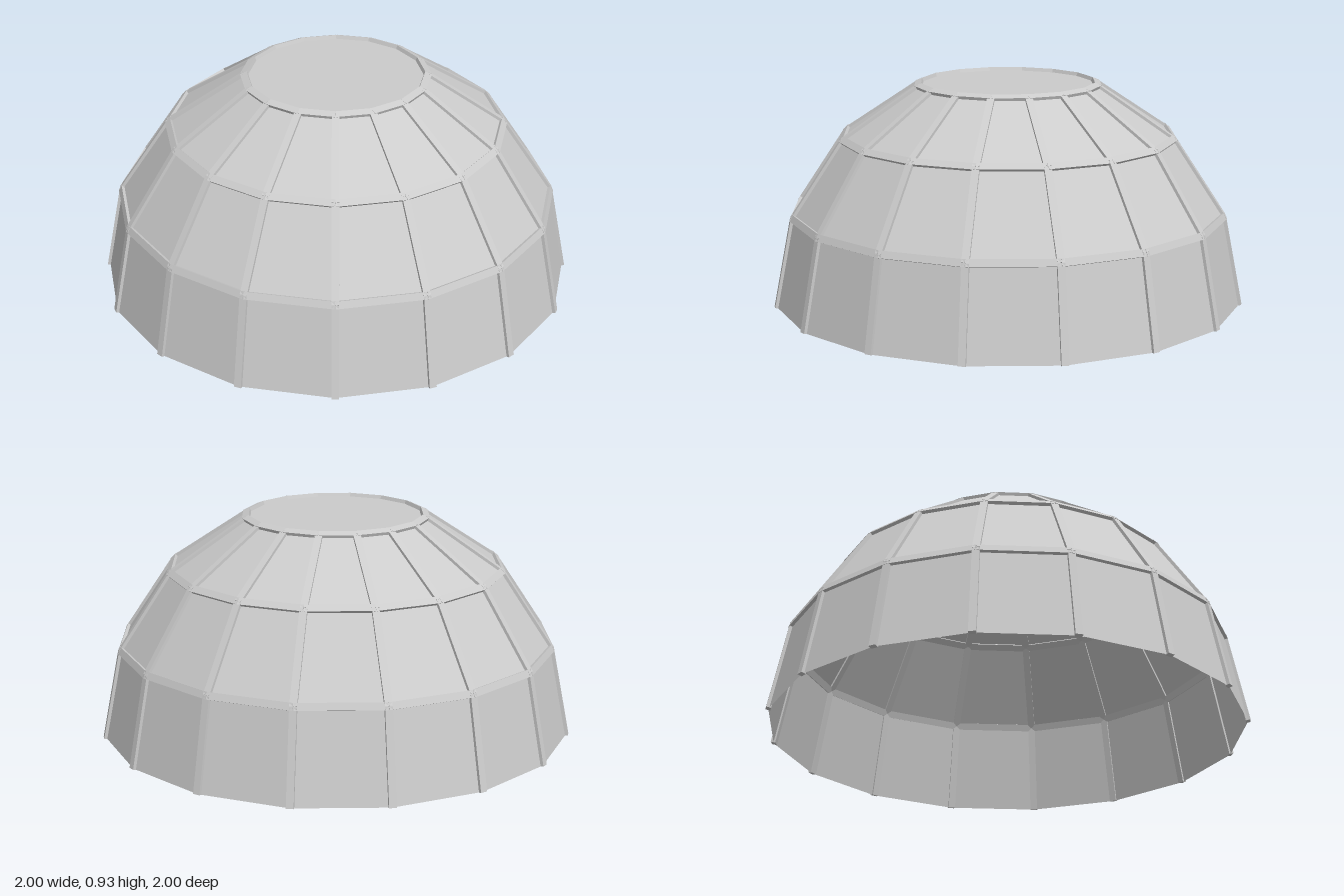
import * as THREE from 'three';

const SIDES = 16;
const RADIUS = 0.99;
const BAR_WIDTH = 0.03;
const BAR_DEPTH = 0.02;
const LEVELS = [0, 1, 2, 3].map((i) => (i * Math.PI) / 8);

const material = new THREE.MeshStandardMaterial({
  color: 0xcccccc,
  flatShading: true,
  side: THREE.DoubleSide,
});

// Joint of the frame on the dome, by level and by step around the axis
function joint(level, step) {
  const around = (step * Math.PI * 2) / SIDES;
  const r = RADIUS * Math.cos(LEVELS[level]);
  return new THREE.Vector3(
    r * Math.sin(around),
    RADIUS * Math.sin(LEVELS[level]),
    r * Math.cos(around)
  );
}

// Square-edged bar between two joints, its broad face turned outward
function bar(a, b, name) {
  const along = b.clone().sub(a);
  const length = along.length();
  along.normalize();
  const middle = a.clone().add(b).multiplyScalar(0.5);
  const out = middle.clone().addScaledVector(along, -middle.dot(along)).normalize();
  const across = new THREE.Vector3().crossVectors(along, out);
  const mesh = new THREE.Mesh(new THREE.BoxGeometry(BAR_WIDTH, length, BAR_DEPTH), material);
  mesh.quaternion.setFromRotationMatrix(new THREE.Matrix4().makeBasis(across, along, out));
  mesh.position.copy(middle);
  mesh.name = name;
  return mesh;
}

export function createModel() {
  const model = new THREE.Group();
  model.name = 'facetedDome';

  // Thin faceted shell, open underneath
  const profile = LEVELS.map(
    (t) => new THREE.Vector2(RADIUS * Math.cos(t), RADIUS * Math.sin(t))
  );
  const panels = new THREE.Mesh(new THREE.LatheGeometry(profile, SIDES), material);
  panels.name = 'panels';
  model.add(panels);

  // Flat panel closing the top
  const top = profile[profile.length - 1];
  const cap = new THREE.Mesh(new THREE.CircleGeometry(top.x, SIDES), material);
  cap.rotation.x = -Math.PI / 2;
  cap.position.y = top.y;
  cap.name = 'topPanel';
  model.add(cap);

  // Frame of upright ribs and level rings
  const ribs = new THREE.Group();
  ribs.name = 'ribs';
  const rings = new THREE.Group();
  rings.name = 'rings';
  for (let step = 0; step < SIDES; step++) {
    for (let level = 1; level < LEVELS.length; level++) {
      ribs.add(bar(joint(level - 1, step), joint(level, step), 'rib'));
      rings.add(bar(joint(level, step), joint(level, step + 1), 'ringBar'));
    }
  }
  model.add(ribs, rings);

  // Rest the rib ends on the ground
  model.position.y = (BAR_DEPTH / 2) * Math.sin(Math.PI / 16);
  return model;
}
